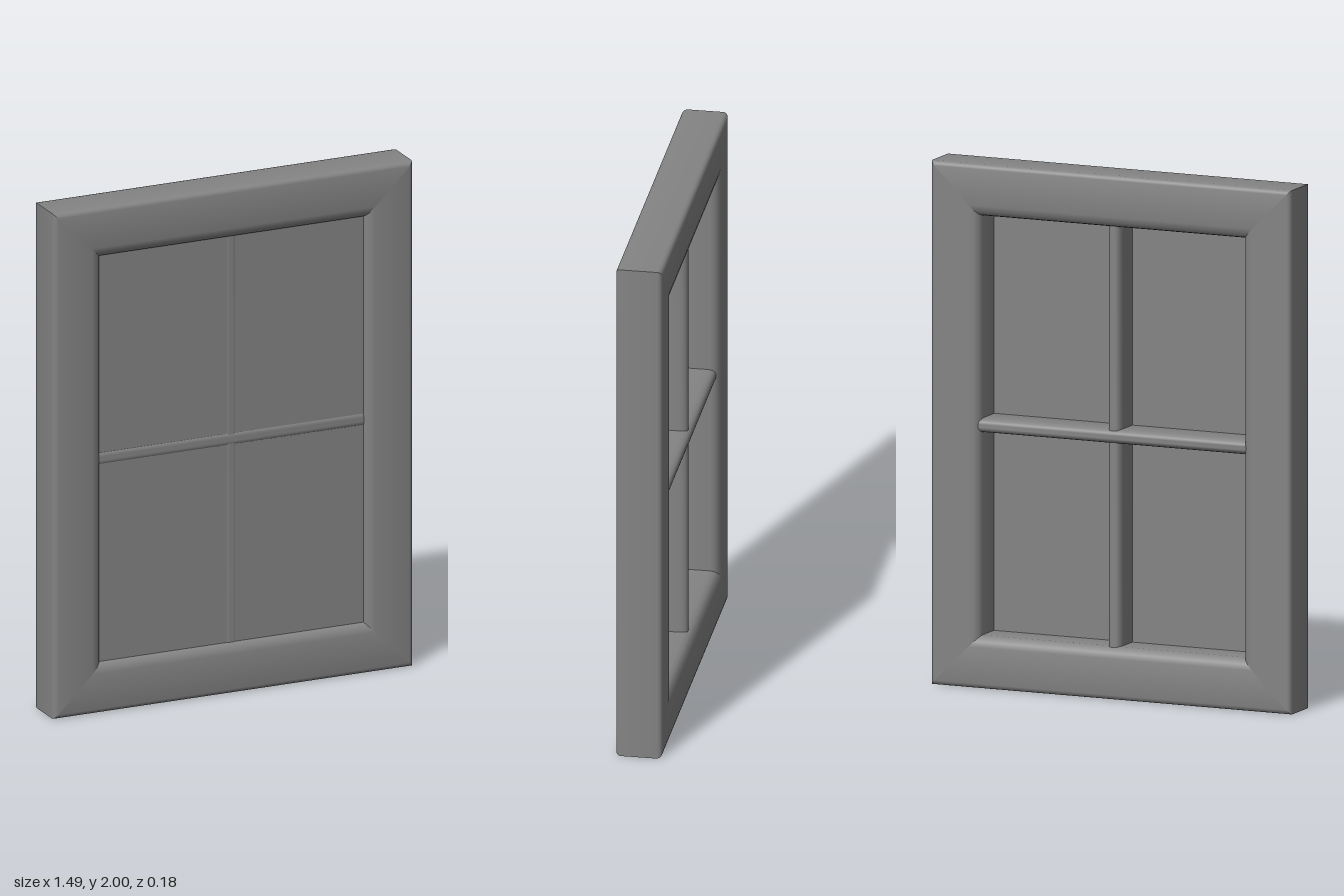
import * as THREE from 'three';
import { toCreasedNormals } from 'three/addons/utils/BufferGeometryUtils.js';

const HALF_W = 0.743, HALF_H = 1, HALF_D = 0.088; // outer half sizes
const RAIL = 0.199; // width of the frame members

// Clockwise rounded section from quarter ellipses [centre u, centre z, radius u, radius z],
// starting at the corner with low u and high z
function roundedSection(corners, steps) {
  const points = [];
  corners.forEach(([u, z, ru, rz], k) => {
    for (let i = 0; i <= steps; i++) {
      const a = Math.PI - (k + i / steps) * Math.PI / 2;
      points.push(new THREE.Vector2(u + ru * Math.cos(a), z + rz * Math.sin(a)));
    }
  });
  return points;
}

// Smooth outward normals of a clockwise section
function sectionNormals(points) {
  const n = points.length;
  const edge = (i) => {
    const d = points[(i + 1) % n].clone().sub(points[i % n]).normalize();
    return new THREE.Vector2(-d.y, d.x);
  };
  return points.map((_, i) => edge(i).add(edge(i + n - 1)).normalize());
}

// One mitred frame member swept between two neighbouring corners;
// (ox, oy) is the outward direction of its side
function frameMember(section, from, to) {
  const ox = (from[0] + to[0]) / 2, oy = (from[1] + to[1]) / 2;
  const sectionNormal = sectionNormals(section);
  const n = section.length, positions = [], normals = [], index = [];
  section.forEach((p, i) => {
    for (const [sx, sy] of [from, to]) {
      positions.push(sx * (HALF_W - p.x), HALF_H + sy * (HALF_H - p.x), p.y);
      normals.push(-sectionNormal[i].x * ox, -sectionNormal[i].x * oy, sectionNormal[i].y);
    }
    const a = 2 * i, c = 2 * ((i + 1) % n);
    index.push(a, c, a + 1, c, c + 1, a + 1);
  });
  const geometry = new THREE.BufferGeometry();
  geometry.setAttribute('position', new THREE.Float32BufferAttribute(positions, 3));
  geometry.setAttribute('normal', new THREE.Float32BufferAttribute(normals, 3));
  geometry.setIndex(index);
  return geometry;
}

// Glazing bar along y with a rounded front and back
function glazingBar(length, back, front) {
  const half = 0.027, ru = 0.02, rf = 0.012, rb = 0.032;
  const u = half - ru;
  // The shape's second axis is -z once the extrusion is stood upright
  const section = roundedSection([
    [-u, -back - rb, ru, rb], [u, -back - rb, ru, rb],
    [u, -front + rf, ru, rf], [-u, -front + rf, ru, rf],
  ], 4);
  const geometry = new THREE.ExtrudeGeometry(new THREE.Shape(section), { depth: length, bevelEnabled: false });
  geometry.translate(0, 0, -length / 2).rotateX(-Math.PI / 2);
  return toCreasedNormals(geometry, 0.6);
}

export function createModel() {
  const model = new THREE.Group();
  model.name = 'window';
  const material = new THREE.MeshStandardMaterial({ color: 0x848484 });
  const add = (parent, name, geometry) => {
    const mesh = new THREE.Mesh(geometry, material);
    mesh.name = name;
    parent.add(mesh);
    return mesh;
  };

  // Mitred frame, softly rounded outside and more broadly around the opening
  const frame = new THREE.Group();
  frame.name = 'frame';
  model.add(frame);
  const r = 0.018, bu = 0.042, bz = 0.036;
  const section = roundedSection([
    [r, HALF_D - r, r, r], [RAIL - bu, HALF_D - bz, bu, bz],
    [RAIL - bu, bz - HALF_D, bu, bz], [r, r - HALF_D, r, r],
  ], 3);
  const corners = [[-1, 1], [1, 1], [1, -1], [-1, -1]];
  ['topRail', 'leftStile', 'bottomRail', 'rightStile'].forEach((name, i) =>
    add(frame, name, frameMember(section, corners[i], corners[(i + 1) % 4])));

  // Pane set close to the front
  const openW = 2 * (HALF_W - RAIL), openH = 2 * (HALF_H - RAIL);
  add(model, 'pane', new THREE.BoxGeometry(openW + 0.04, openH + 0.04, 0.008))
    .position.set(0, HALF_H, 0.058);

  // Crossing glazing bars, standing out behind the pane
  const horizontalBar = add(model, 'horizontalBar', glazingBar(openW + 0.06, -0.073, 0.066));
  horizontalBar.position.y = HALF_H;
  horizontalBar.rotation.z = Math.PI / 2;
  add(model, 'verticalBar', glazingBar(openH + 0.06, -0.062, 0.064)).position.y = HALF_H;

  return model;
}
